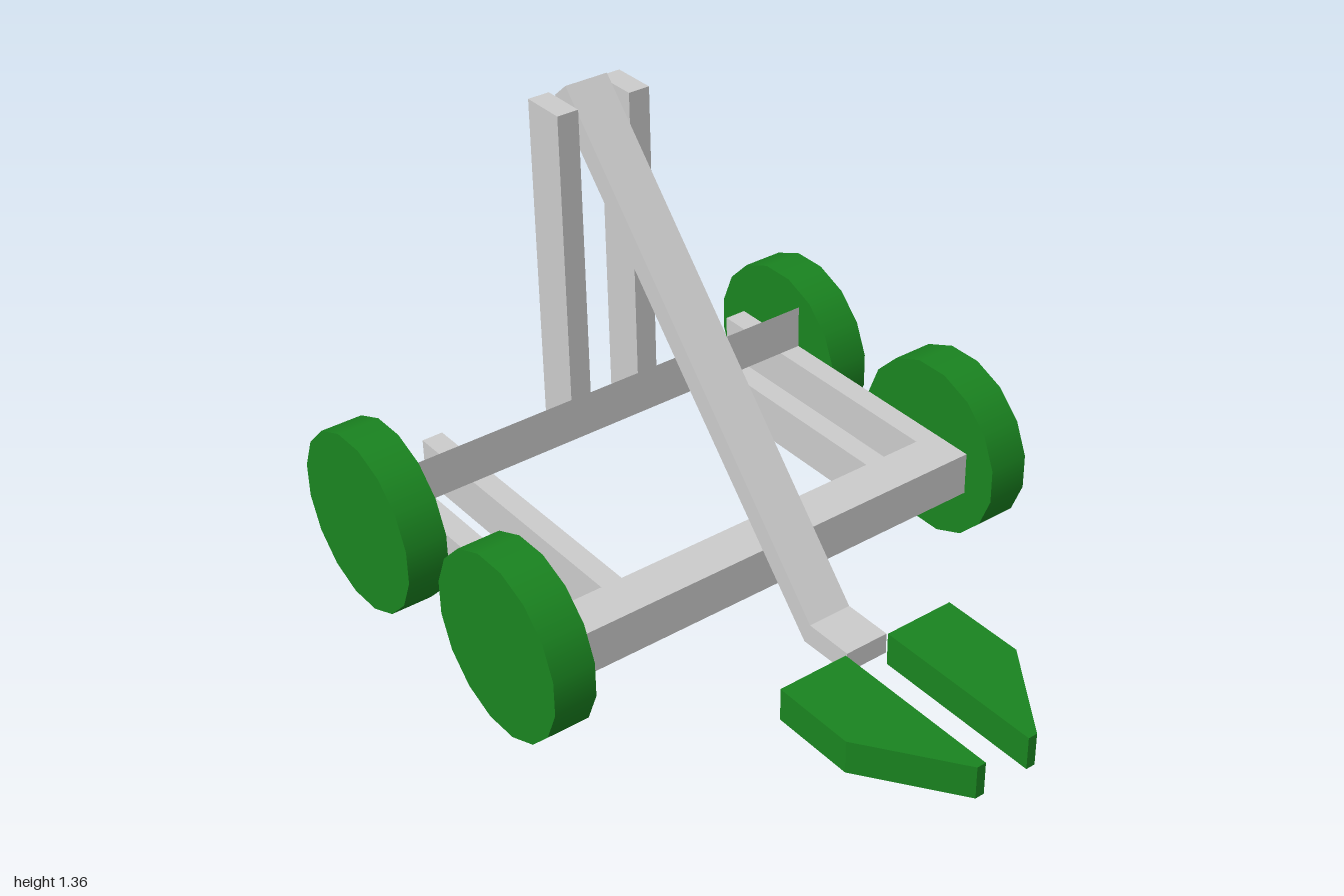
import * as THREE from 'three';

const grey = new THREE.MeshStandardMaterial({ color: 0xcccccc });
const greyThin = new THREE.MeshStandardMaterial({ color: 0xcccccc, side: THREE.DoubleSide });
const green = new THREE.MeshStandardMaterial({ color: 0x1a8420 });

export function createModel() {
  const model = new THREE.Group();

  const add = (name, geometry, material = grey) => {
    const mesh = new THREE.Mesh(geometry, material);
    mesh.name = name;
    model.add(mesh);
    return mesh;
  };

  // Box given by its limits on each axis
  const box = (name, [x0, x1], [y0, y1], [z0, z1]) =>
    add(name, new THREE.BoxGeometry(x1 - x0, y1 - y0, z1 - z0))
      .position.set((x0 + x1) / 2, (y0 + y1) / 2, (z0 + z1) / 2);

  const extrude = (points, depth) => new THREE.ExtrudeGeometry(
    new THREE.Shape(points.map(([a, b]) => new THREE.Vector2(a, b))),
    { depth, bevelEnabled: false });

  // Frame: front beam, and a thin rear board standing on the rails
  box('frontBeam', [-0.675, 0.675], [0.188, 0.32], [-0.02, 0.115]);
  add('rearBoard', new THREE.PlaneGeometry(1.35, 0.135), greyThin).position.set(0, 0.3875, -0.63);

  // Bent arm: side profile in (z, y), extruded across x
  const armWidth = 0.134;
  const arm = extrude([
    [0.475, 0.14], [0.475, 0.203], [0.325, 0.203],
    [-0.71, 1.365], [-0.762, 1.32], [0.303, 0.137],
  ], armWidth);
  arm.rotateY(-Math.PI / 2).translate(armWidth / 2, 0, 0);
  add('arm', arm);

  for (const side of [-1, 1]) {
    const span = (a, b) => [Math.min(side * a, side * b), Math.max(side * a, side * b)];

    // Rails and uprights
    box('outerRail', span(0.607, 0.675), [0.185, 0.32], [-0.895, -0.02]);
    box('innerRail', span(0.42, 0.485), [0.185, 0.32], [-0.895, -0.02]);
    box('upright', span(0.082, 0.148), [0.32, 1.33], [-0.768, -0.632]);

    // Wheels
    for (const z of [-0.043, -0.732]) {
      const wheel = new THREE.CylinderGeometry(0.269, 0.269, 0.125, 16, 1, false, Math.PI / 16);
      wheel.rotateZ(Math.PI / 2);
      add('wheel', wheel, green).position.set(side * 0.7375, 0.265, z);
    }

    // Pointed prongs: plan outline in (x, z), extruded downwards
    const prong = extrude([
      [0.072, 0.475], [0.288, 0.475], [0.288, 0.73], [0.1, 1], [0.072, 1],
    ].map(([x, z]) => [side * x, z]), 0.1);
    prong.rotateX(Math.PI / 2).translate(0, 0.2, 0);
    add('prong', prong, green);
  }

  return model;
}
